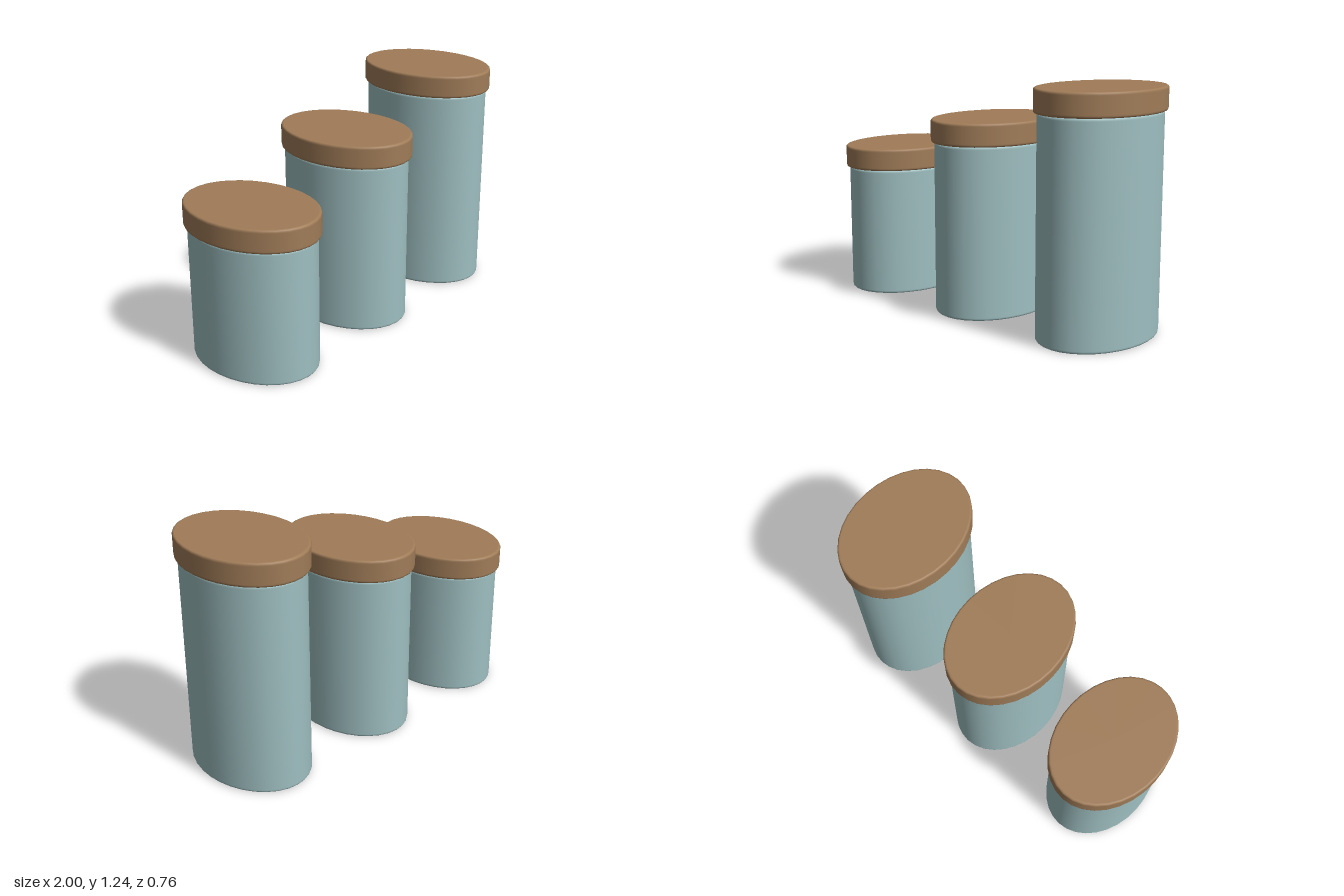
import * as THREE from 'three';

const ROUND = 0.012;   // edge rounding
const SQUASH = 0.75;   // width / depth of the oval section

// Solid oval drum with softly rounded rims, standing on y = 0
function ovalDrum(radius, height) {
  const points = [new THREE.Vector2(0, 0), new THREE.Vector2(radius - ROUND - 0.004, 0)];
  const steps = 4;
  for (const top of [false, true]) {
    for (let i = 0; i <= steps; i++) {
      const a = (i / steps) * Math.PI / 2 + (top ? 0 : -Math.PI / 2);
      const cy = top ? height - ROUND : ROUND;
      points.push(new THREE.Vector2(radius - ROUND + Math.cos(a) * ROUND, cy + Math.sin(a) * ROUND));
    }
    // support ring keeps the wall shading straight
    if (!top) points.push(new THREE.Vector2(radius, ROUND + 0.004), new THREE.Vector2(radius, height - ROUND - 0.004));
  }
  points.push(new THREE.Vector2(radius - ROUND - 0.004, height), new THREE.Vector2(0, height));
  const geometry = new THREE.LatheGeometry(points, 32);
  geometry.scale(SQUASH, 1, 1);
  return geometry;
}

export function createModel() {
  const model = new THREE.Group();
  model.name = 'canisterSet';

  const glaze = new THREE.MeshStandardMaterial({ color: 0x9fbfc1 });
  glaze.name = 'paleBlueGlaze';
  const wood = new THREE.MeshStandardMaterial({ color: 0xa07c58 });
  wood.name = 'wood';

  const lidHeight = 0.12;
  const lidGeometry = ovalDrum(0.38, lidHeight);

  // Three canisters, rising from right to left
  ['small', 'medium', 'large'].forEach((size, i) => {
    const bodyHeight = 0.705 + i * 0.208;
    const canister = new THREE.Group();
    canister.name = `${size}Canister`;
    canister.position.x = (i - 1) * 0.715;

    const body = new THREE.Mesh(ovalDrum(0.36, bodyHeight), glaze);
    body.name = 'body';
    const lid = new THREE.Mesh(lidGeometry, wood);
    lid.name = 'lid';
    lid.position.y = bodyHeight;

    canister.add(body, lid);
    model.add(canister);
  });

  return model;
}
